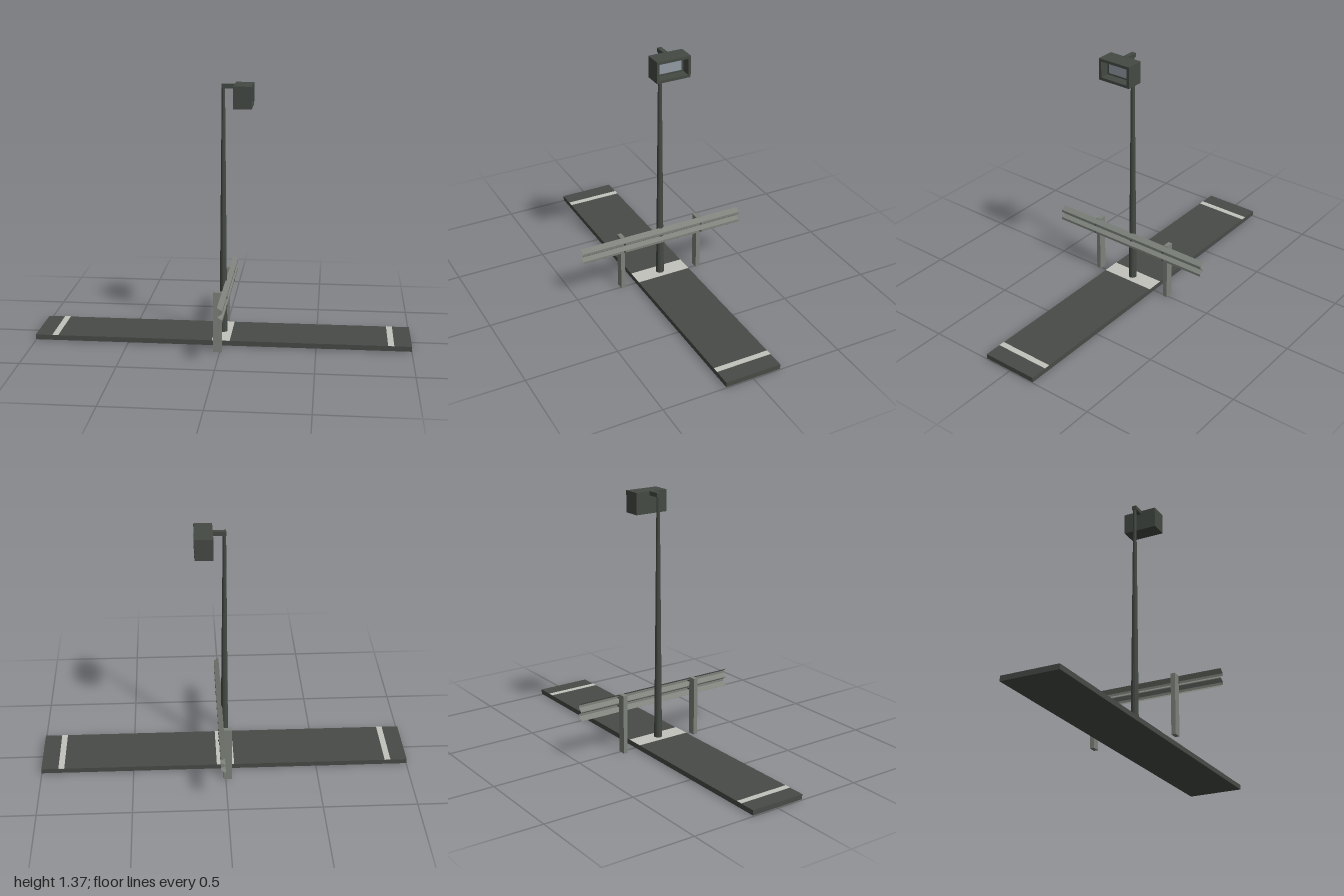
import * as THREE from 'three';

const paint = (name, color, side = THREE.FrontSide) => {
  const m = new THREE.MeshStandardMaterial({ color, side });
  m.name = name;
  return m;
};

export function createModel() {
  const group = new THREE.Group();
  const dark = paint('dark painted metal', 0x454a44);
  const asphalt = paint('asphalt', 0x474b46);
  const steel = paint('galvanised steel', 0x7e827b);
  const railSteel = paint('rail steel', 0x7e827b, THREE.DoubleSide);
  const white = paint('road paint', 0xc2c3bb);
  const glass = paint('lamp glass', 0x929aa3);

  const add = (name, geometry, material) => {
    const mesh = new THREE.Mesh(geometry, material);
    mesh.name = name;
    group.add(mesh);
    return mesh;
  };
  // box given by its limits on each axis
  const box = (name, [x0, x1], [y0, y1], [z0, z1], material) =>
    add(name, new THREE.BoxGeometry(x1 - x0, y1 - y0, z1 - z0), material)
      .position.set((x0 + x1) / 2, (y0 + y1) / 2, (z0 + z1) / 2);

  // road strip with painted bands
  const halfRoad = 0.154;
  box('road', [-1, 1], [0.005, 0.032], [-halfRoad, halfRoad], asphalt);
  for (const [x0, x1] of [[-0.91, -0.878], [-0.05, 0.045], [0.876, 0.908]]) {
    box('roadMarking', [x0, x1], [0.032, 0.0335], [-halfRoad, halfRoad], white);
  }

  // tapered lamp pole with a wider foot
  const poleX = -0.003;
  const profile = [[0, 0.03], [0.022, 0.03], [0.022, 0.07], [0.02, 0.16], [0.0085, 1.37], [0, 1.37]];
  const pole = add('pole', new THREE.LatheGeometry(
    profile.map(([r, y]) => new THREE.Vector2(r, y)), 12).toNonIndexed(), dark);
  pole.geometry.computeVertexNormals();
  pole.position.x = poleX;
  box('arm', [-0.012, 0.06], [1.352, 1.374], [-0.012, 0.012], dark);

  // floodlight housing, open towards +x
  const frame = new THREE.Shape();
  frame.moveTo(-0.094, 1.257).lineTo(0.094, 1.257).lineTo(0.094, 1.373).lineTo(-0.094, 1.373).closePath();
  const opening = new THREE.Path();
  opening.moveTo(-0.08, 1.272).lineTo(-0.08, 1.358).lineTo(0.08, 1.358).lineTo(0.08, 1.272).closePath();
  frame.holes.push(opening);
  const hood = add('lampHood', new THREE.ExtrudeGeometry(frame, { depth: 0.06, bevelEnabled: false }), dark);
  hood.rotation.y = Math.PI / 2;
  hood.position.x = 0.09;
  box('lampBody', [0.055, 0.1], [1.257, 1.373], [-0.094, 0.094], dark);
  box('lampPane', [0.1, 0.106], [1.284, 1.349], [-0.066, 0.066], glass);

  // corrugated crash barrier: a W profile swept along z
  const rail = [[0.01, 0.322], [0.036, 0.304], [0.036, 0.291], [0.013, 0.274],
    [0.013, 0.27], [0.036, 0.256], [0.036, 0.243], [0.01, 0.224]];
  const pos = [];
  const L = 0.475;
  for (let i = 0; i < rail.length - 1; i++) {
    const [ax, ay] = rail[i], [bx, by] = rail[i + 1];
    pos.push(ax, ay, L, bx, by, L, bx, by, -L, ax, ay, L, bx, by, -L, ax, ay, -L);
  }
  const railGeo = new THREE.BufferGeometry();
  railGeo.setAttribute('position', new THREE.Float32BufferAttribute(pos, 3));
  railGeo.computeVertexNormals();
  add('guardRail', railGeo, railSteel);

  // barrier posts with bolts
  for (const z of [-0.231, 0.231]) {
    box('railPost', [-0.033, 0.011], [0, 0.325], [z - 0.012, z + 0.012], steel);
    for (const y of [0.297, 0.25]) {
      box('railBolt', [0.005, 0.04], [y - 0.004, y + 0.004], [z - 0.004, z + 0.004], dark);
    }
  }
  return group;
}
